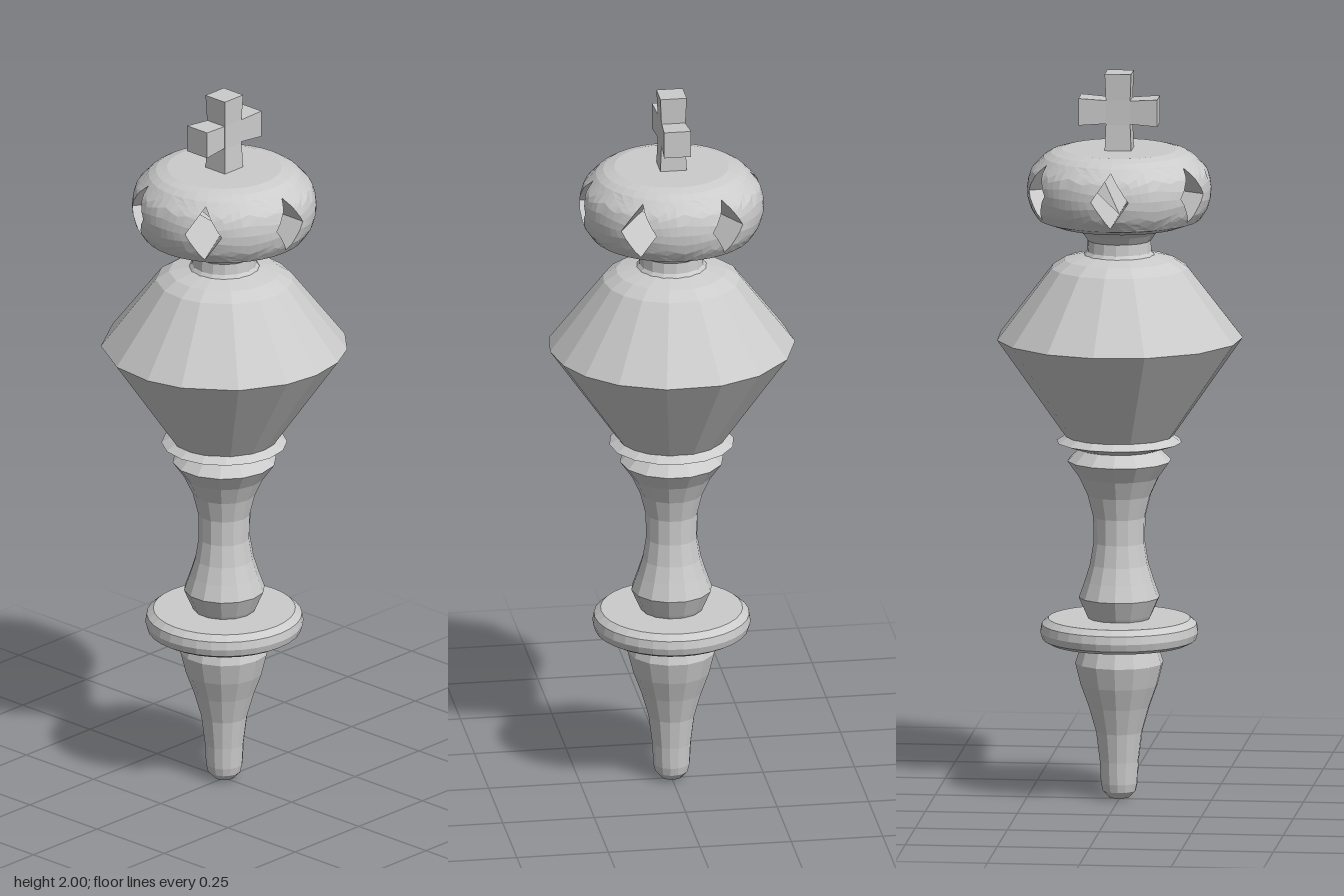
import * as THREE from 'three';

const mat = new THREE.MeshStandardMaterial({ color: 0xcccccc, flatShading: true, side: THREE.DoubleSide });

function add(group, name, geometry) {
  const mesh = new THREE.Mesh(geometry, mat);
  mesh.name = name;
  group.add(mesh);
  return mesh;
}

// Lathe from [radius, height] pairs, listed bottom to top
function turned(points, sides) {
  return new THREE.LatheGeometry(points.map(p => new THREE.Vector2(p[0], p[1])), sides);
}

// Turned bulb with slightly uneven facets around its axis
function unevenBulb(points) {
  const deg = [1.7, 20, 37, 56, 79, 105, 126.5, 150.5, 174, 198, 226, 253, 275, 293, 320, 344, 361.7];
  const geo = turned(points, 16);
  const pos = geo.attributes.position;
  for (let i = 0; i < pos.count; i++) {
    const a = THREE.MathUtils.degToRad(deg[Math.floor(i / points.length)]);
    const r = Math.hypot(pos.getX(i), pos.getZ(i));
    pos.setXYZ(i, r * Math.sin(a), pos.getY(i), r * Math.cos(a));
  }
  return geo;
}

// Head profile: radius at a height, between the two caps
const BELT = [[0.22, 1.6], [0.24, 1.63], [0.249, 1.665], [0.249, 1.7], [0.238, 1.735], [0.205, 1.77]];
function beltRadius(y) {
  for (let i = 1; i < BELT.length; i++) {
    const [r0, y0] = BELT[i - 1], [r1, y1] = BELT[i];
    if (y <= y1) return r0 + (r1 - r0) * Math.max(0, (y - y0) / (y1 - y0));
  }
  return BELT[BELT.length - 1][0];
}

// Stitches rows of points (each a closed loop) into a surface
function loft(rows) {
  const n = rows[0].length, index = [];
  for (let j = 0; j < rows.length - 1; j++) {
    for (let k = 0; k < n; k++) {
      const a = j * n + k, b = j * n + (k + 1) % n;
      index.push(a, b, a + n, b, b + n, a + n);
    }
  }
  const geo = new THREE.BufferGeometry();
  geo.setAttribute('position', new THREE.Float32BufferAttribute(rows.flat(2), 3));
  geo.setIndex(index);
  geo.computeVertexNormals();
  return geo;
}

// One sixth of the head: a curved panel around a diamond opening, and the tunnel behind it
function buildWindow(group, name, turn) {
  const cy = 1.685, halfH = 0.085, halfAngle = Math.PI / 6;
  const holeW = 0.051, holeH = 0.075, steps = 6, rings = 4;
  const square = [];
  for (let side = 0; side < 4; side++) {
    for (let i = 0; i < steps; i++) {
      const t = -1 + 2 * i / steps;
      square.push([[t, -1], [1, t], [-t, 1], [-1, -t]][side]);
    }
  }
  const outer = square.map(([x, y]) => [x * halfAngle, cy + y * halfH]);
  const hole = square.map(([x, y]) => {
    const s = 1 / (Math.abs(x) + Math.abs(y));
    const u = x * s * holeW, h = cy + y * s * holeH;
    return [Math.asin(u / beltRadius(h)), h, u];
  });
  const onBelt = (a, y) => [beltRadius(y) * Math.sin(a), y, beltRadius(y) * Math.cos(a)];
  const panel = [];
  for (let j = 0; j <= rings; j++) {
    const t = j / rings;
    panel.push(outer.map((o, k) => onBelt(
      o[0] + (hole[k][0] - o[0]) * t, o[1] + (hole[k][1] - o[1]) * t)));
  }
  // Tunnel walls end where they meet the neighbouring tunnels
  const rim = hole.map(([a, y]) => onBelt(a, y));
  const inner = hole.map(([, y, u]) => [u, y, Math.abs(u) * Math.sqrt(3)]);
  const sector = new THREE.Group();
  sector.name = name;
  add(sector, 'windowPanel', loft(panel));
  add(sector, 'windowTunnel', loft([rim, inner]));
  sector.rotation.y = turn;
  group.add(sector);
}

// Bar of the cross, along x, narrowed at its middle
function flaredBar(length, end, middle) {
  const geo = new THREE.BoxGeometry(length, 2, 2, 4, 1, 1);
  const pos = geo.attributes.position;
  for (let i = 0; i < pos.count; i++) {
    const x = pos.getX(i);
    const isEnd = Math.abs(x) > length * 0.45;
    const s = isEnd ? end : middle;
    pos.setXYZ(i, isEnd ? x : Math.sign(x) * (Math.abs(x) > 1e-6 ? 0.034 : 0), pos.getY(i) * s, pos.getZ(i) * s);
  }
  return geo;
}

export function createModel() {
  const model = new THREE.Group();
  model.name = 'finial';

  // Tapered peg at the bottom
  add(model, 'peg', turned([[0, 0.005], [0.028, 0.01], [0.045, 0.028], [0.05, 0.05], [0.053, 0.11],
    [0.063, 0.19], [0.083, 0.26], [0.105, 0.32], [0.12, 0.38], [0.1, 0.44], [0, 0.44]], 14));

  // Rounded disc
  add(model, 'disc', turned([[0, 0.435], [0.19, 0.435], [0.208, 0.445], [0.214, 0.465], [0.21, 0.487],
    [0.192, 0.502], [0, 0.502]], 32));

  // Waisted stem
  add(model, 'stem', turned([[0.08, 0.495], [0.088, 0.51], [0.11, 0.56], [0.094, 0.605], [0.08, 0.65],
    [0.07, 0.71], [0.071, 0.78], [0.086, 0.84], [0.109, 0.89], [0.141, 0.935], [0.105, 0.97], [0, 0.97]], 14));

  // Thin sharp collar
  add(model, 'collar', turned([[0, 0.965], [0.11, 0.967], [0.17, 0.987], [0.14, 1.006], [0, 1.006]], 16));

  // Large double cone
  add(model, 'bulb', unevenBulb([[0, 1.0], [0.146, 1.003], [0.334, 1.273], [0.186, 1.465], [0.15, 1.488],
    [0.09, 1.502], [0, 1.502]]));

  // Neck under the head
  add(model, 'neck', turned([[0.1, 1.495], [0.088, 1.51], [0.086, 1.54], [0.1, 1.56], [0.125, 1.582]], 16));

  // Head: caps and six diamond windows whose tunnels cross in the middle
  const head = new THREE.Group();
  head.name = 'head';
  model.add(head);
  add(head, 'headBottom', turned([[0, 1.578], [0.11, 1.578], [0.175, 1.584], [0.22, 1.6]], 36));
  add(head, 'headTop', turned([[0.205, 1.77], [0.185, 1.782], [0.155, 1.79], [0, 1.79]], 36));
  for (let i = 0; i < 6; i++) buildWindow(head, 'window' + (i + 1), i * Math.PI / 3);

  // Cross on top
  const cross = new THREE.Group();
  cross.name = 'cross';
  cross.position.y = 1.895;
  model.add(cross);
  add(cross, 'crossArm', flaredBar(0.214, 0.037, 0.032));
  add(cross, 'crossUpright', flaredBar(0.21, 0.036, 0.033)).rotation.z = Math.PI / 2;

  return model;
}
